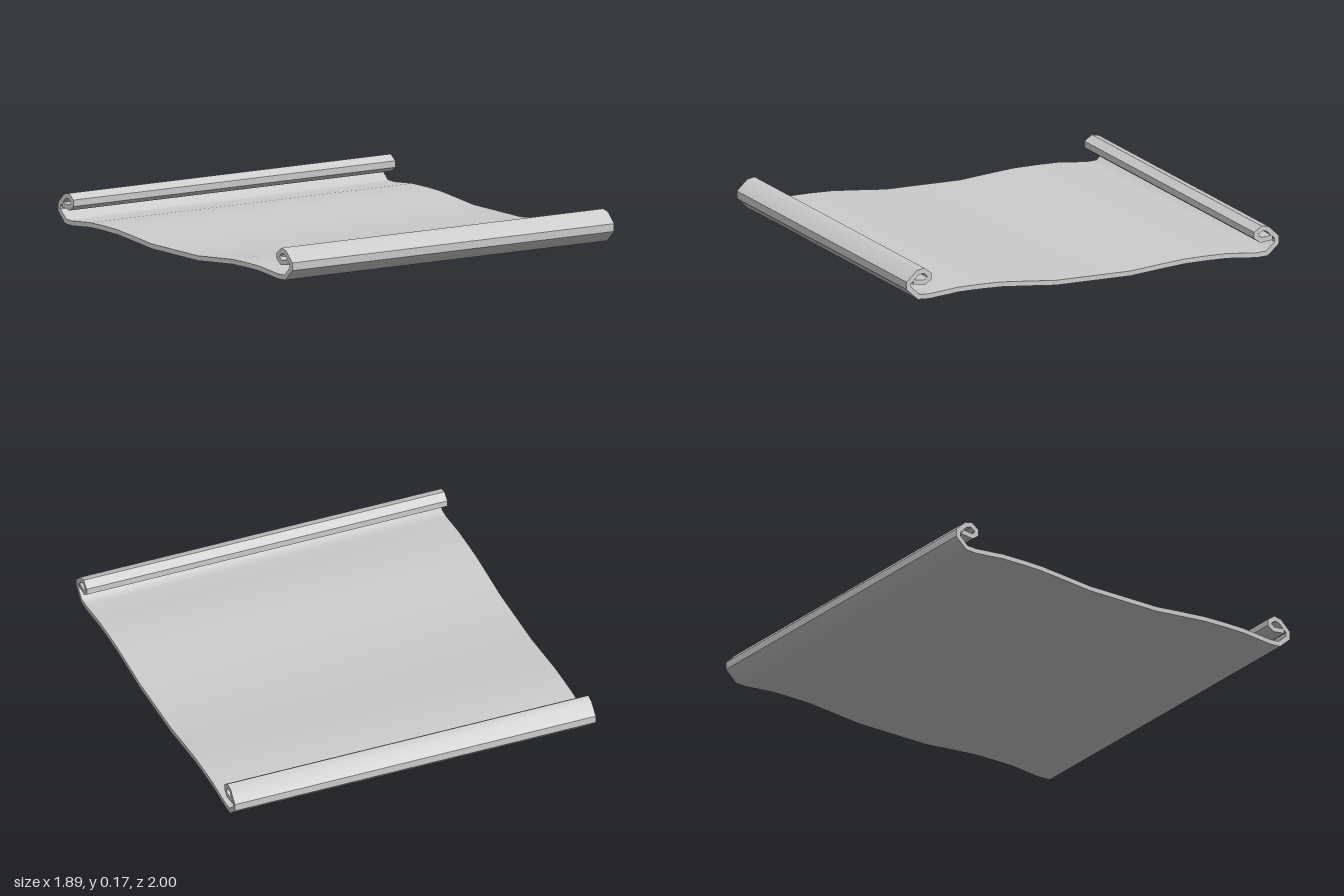
import * as THREE from 'three';
import { toCreasedNormals } from 'three/addons/utils/BufferGeometryUtils.js';

const WIDTH = 1.89;
const THICKNESS = 0.024;

// Outer face of one half of the sheet as [z, y], from the middle to the rolled tip
const HALF = [
  [0.2, 0], [0.34, 0.013], [0.49, 0.026], [0.6, 0.028], [0.72, 0.027], [0.88, 0.012], [0.94, 0.015],
  [1.0, 0.07], [1.0, 0.108], [0.945, 0.16], [0.905, 0.168],
  [0.866, 0.14], [0.866, 0.108], [0.9, 0.084], [0.965, 0.092],
];

// Offset a polyline to its left with mitred corners
function offsetLeft(points, distance) {
  const normals = points.slice(1).map((p, i) => {
    const d = p.clone().sub(points[i]).normalize();
    return new THREE.Vector2(-d.y, d.x);
  });
  return points.map((p, i) => {
    const a = normals[Math.max(i - 1, 0)];
    const b = normals[Math.min(i, normals.length - 1)];
    const miter = a.clone().add(b).normalize();
    return p.clone().addScaledVector(miter, distance / miter.dot(a));
  });
}

export function createModel() {
  const group = new THREE.Group();
  group.name = 'scroll';

  // Full cross-section: back roll, wavy sheet, front roll
  const front = HALF.map(([z, y]) => new THREE.Vector2(z, y));
  const back = HALF.map(([z, y]) => new THREE.Vector2(-z, y)).reverse();
  const outer = [...back, ...front];
  const inner = offsetLeft(outer, THICKNESS);
  const section = new THREE.Shape([...outer, ...inner.reverse()]);

  // Extrude the section across the width, keeping the roll edges crisp
  const extruded = new THREE.ExtrudeGeometry(section, { depth: WIDTH, bevelEnabled: false });
  extruded.translate(0, 0, -WIDTH / 2);
  extruded.rotateY(-Math.PI / 2);
  const geometry = toCreasedNormals(extruded, THREE.MathUtils.degToRad(44));

  const sheet = new THREE.Mesh(geometry, new THREE.MeshStandardMaterial({ color: 0xcccccc }));
  sheet.name = 'rolledSheet';
  group.add(sheet);
  return group;
}
